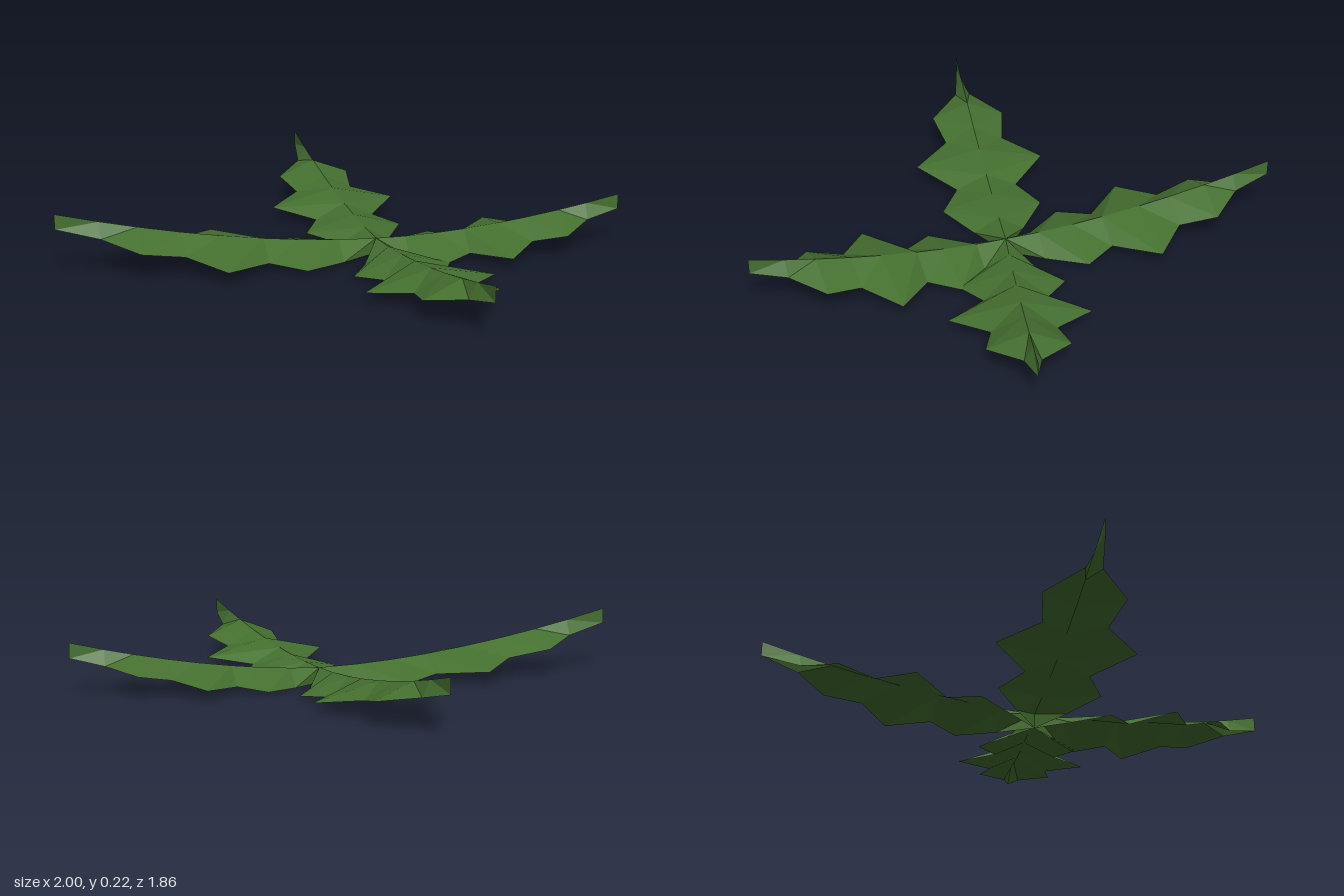
import * as THREE from 'three';

const leafGreen = new THREE.MeshStandardMaterial({ color: 0x457030, flatShading: true, side: THREE.DoubleSide });
leafGreen.name = 'leafGreen';

// Stations along the blade: [fraction of length, half width]
const STATIONS = [
  [0, 0], [0.12, 0.09], [0.25, 0.182], [0.36, 0.112], [0.5, 0.24],
  [0.615, 0.11], [0.75, 0.138], [0.865, 0.028], [1, 0],
];
const RIDGE = 0.055; // height of the midrib above the edges

// Serrated blade along +x: a raised midrib with two sloping sides, curling up to the tip
function leafGeometry(length) {
  const positions = [];
  const index = [];
  STATIONS.forEach(([t, w], i) => {
    const y = 0.144 * length * Math.pow(t, 1.75);
    for (const side of [-1, 0, 1]) {
      positions.push(t * length, y + (side === 0 ? RIDGE : 0), side * w);
    }
    if (i === STATIONS.length - 1) return;
    for (let j = 0; j < 2; j++) {
      const a = 3 * i + j, b = a + 1, c = a + 3, d = a + 4;
      // mirror the diagonal on the two sides
      if (j === 0) index.push(a, b, c, b, d, c);
      else index.push(a, b, d, a, d, c);
    }
  });
  const geometry = new THREE.BufferGeometry();
  geometry.setAttribute('position', new THREE.Float32BufferAttribute(positions, 3));
  geometry.setIndex(index);
  geometry.computeVertexNormals();
  return geometry;
}

export function createModel() {
  const model = new THREE.Group();
  model.name = 'leafCluster';
  const centre = [0.118, 0.05];

  // Tip position (x, z) of each leaf around the common centre
  const tips = {
    leftLeaf: [1, 0.05],
    rightLeaf: [-1, 0.125],
    backLeaf: [-0.065, -0.93],
    frontLeaf: [0.345, 0.93],
  };
  for (const [name, [x, z]] of Object.entries(tips)) {
    const dx = x - centre[0];
    const dz = z - centre[1];
    const leaf = new THREE.Mesh(leafGeometry(Math.hypot(dx, dz)), leafGreen);
    leaf.name = name;
    leaf.position.set(centre[0], 0, centre[1]);
    leaf.rotation.y = Math.atan2(-dz, dx);
    model.add(leaf);
  }
  return model;
}
